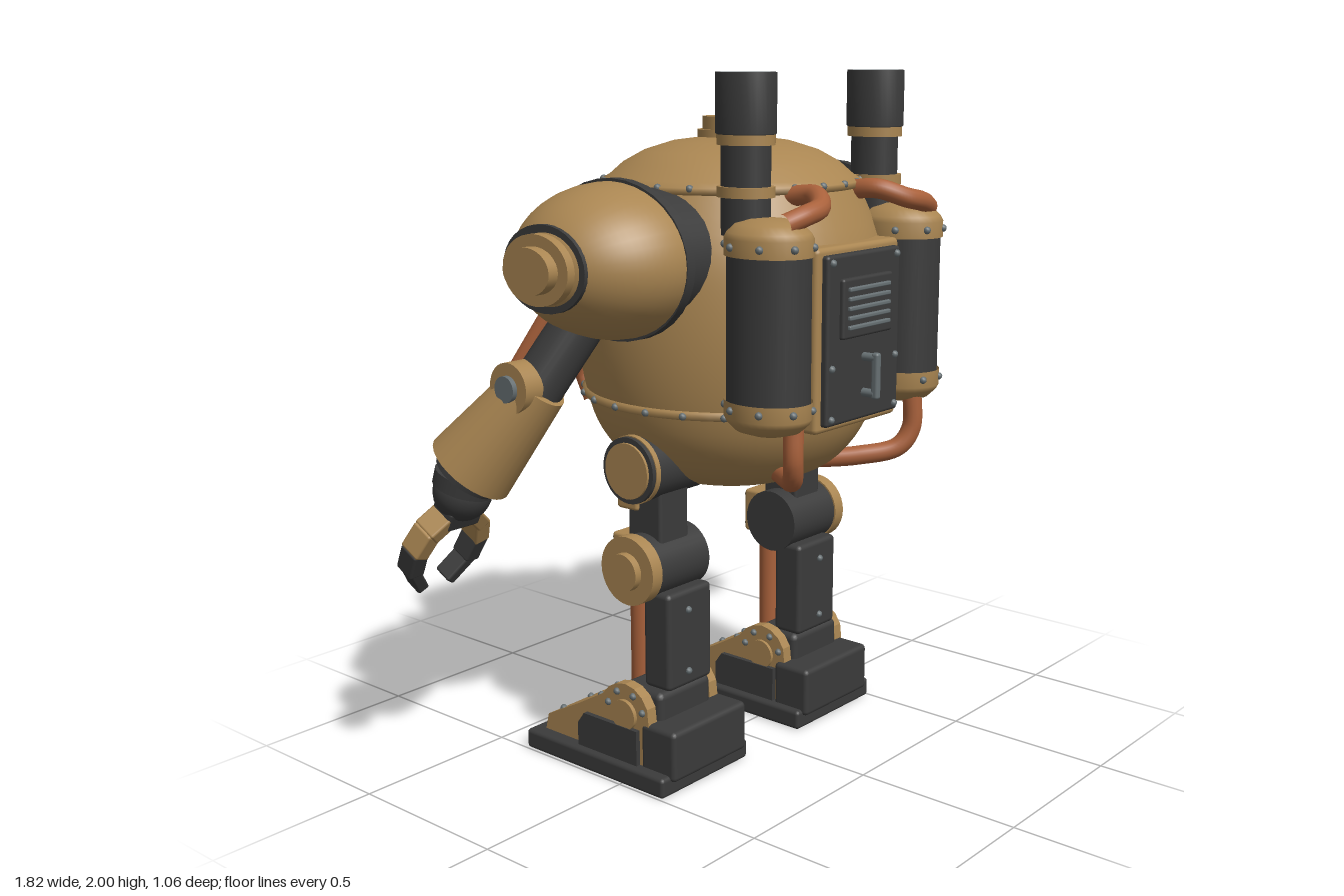
import * as THREE from 'three';
import { RoundedBoxGeometry } from 'three/addons/geometries/RoundedBoxGeometry.js';

const material = (name, color, side = THREE.FrontSide) => {
  const m = new THREE.MeshStandardMaterial({ color, side });
  m.name = name;
  return m;
};
const V = (x, y, z) => new THREE.Vector3(x, y, z);

export function createModel() {
  const root = new THREE.Group();
  root.name = 'robot';
  const brass = material('brass', 0xaa8652, THREE.DoubleSide);
  const dark = material('dark iron', 0x3b3b3b, THREE.DoubleSide);
  const copper = material('copper', 0xa9613b);
  const steel = material('steel', 0x677073);
  const glass = material('teal glass', 0x2c5256);

  const group = (name, parent = root) => {
    const g = new THREE.Group();
    g.name = name;
    parent.add(g);
    return g;
  };
  const add = (p, name, geo, mat, x = 0, y = 0, z = 0) => {
    const m = new THREE.Mesh(geo, mat);
    m.name = name;
    m.position.set(x, y, z);
    p.add(m);
    return m;
  };
  // Box given by its extents, with softened edges
  const box = (p, name, mat, x0, x1, y0, y1, z0, z1, r = 0.01) =>
    add(p, name, new RoundedBoxGeometry(Math.abs(x1 - x0), y1 - y0, Math.abs(z1 - z0), 2, r), mat,
      (x0 + x1) / 2, (y0 + y1) / 2, (z0 + z1) / 2);
  // Cylinder along x, y or z between two coordinates
  const xCyl = (p, name, mat, x0, x1, y, z, r, rz = r) => {
    const g = new THREE.CylinderGeometry(1, 1, Math.abs(x1 - x0), 32).rotateZ(Math.PI / 2).scale(1, r, rz);
    return add(p, name, g, mat, (x0 + x1) / 2, y, z);
  };
  const yCyl = (p, name, mat, x, y0, y1, z, r, rz = r) =>
    add(p, name, new THREE.CylinderGeometry(1, 1, y1 - y0, 32).scale(r, 1, rz), mat, x, (y0 + y1) / 2, z);
  const zCyl = (p, name, mat, x, y, z0, z1, r) =>
    add(p, name, new THREE.CylinderGeometry(r, r, Math.abs(z1 - z0), 32).rotateX(Math.PI / 2), mat, x, y, (z0 + z1) / 2);
  // Places a geometry built along y between two points
  const span = (p, name, mat, a, b, makeGeo) => {
    const d = b.clone().sub(a), m = add(p, name, makeGeo(d.length()), mat);
    m.position.copy(a).add(b).multiplyScalar(0.5);
    m.quaternion.setFromUnitVectors(V(0, 1, 0), d.normalize());
    return m;
  };
  const cone = (r0, r1) => (h) => new THREE.CylinderGeometry(r1, r0, h, 28);
  const rivetGeo = new THREE.SphereGeometry(0.011, 8, 6);
  const rivet = (p, x, y, z) => add(p, 'rivet', rivetGeo, steel, x, y, z);
  const lathe = (pts, seg = 48) =>
    new THREE.LatheGeometry(pts.map(([r, y]) => new THREE.Vector2(r, y)), seg);
  const pipe = (p, name, pts, r = 0.028) =>
    add(p, name, new THREE.TubeGeometry(new THREE.CatmullRomCurve3(pts), 40, r, 14), copper);

  // Round hull with a domed lid
  const body = group('body');
  const profile = new THREE.SplineCurve([[0.21, 0.84], [0.31, 0.89], [0.385, 0.98], [0.425, 1.09], [0.447, 1.24],
    [0.447, 1.4], [0.425, 1.54], [0.36, 1.69]].map(([r, y]) => new THREE.Vector2(r, y))).getPoints(28);
  add(body, 'hull', new THREE.LatheGeometry([new THREE.Vector2(0, 0.84), new THREE.Vector2(0.205, 0.84), ...profile], 56), brass);
  add(body, 'lid', lathe([[0.355, 1.675], [0.374, 1.68], [0.374, 1.697], [0.35, 1.71], [0.31, 1.745], [0.25, 1.778],
    [0.17, 1.803], [0.08, 1.815], [0, 1.817]], 56), brass);
  add(body, 'seam', lathe([[0.415, 1.075], [0.434, 1.08], [0.438, 1.1], [0.42, 1.105]], 56), brass);
  for (let i = 0; i < 24; i++) {
    const a = (i + 0.5) / 24 * Math.PI * 2, c = Math.cos(a), s = Math.sin(a);
    rivet(body, 0.368 * c, 1.695, 0.368 * s);
    rivet(body, 0.436 * c, 1.09, 0.436 * s);
  }
  yCyl(body, 'capBase', brass, 0, 1.79, 1.835, -0.015, 0.08, 0.09);
  yCyl(body, 'cap', brass, 0, 1.83, 1.872, -0.015, 0.065, 0.075);

  // Viewing window on the -z side
  const win = group('window');
  box(win, 'outerFrame', dark, -0.21, 0.21, 1.4, 1.62, -0.44, -0.34, 0.02);
  box(win, 'innerFrame', brass, -0.185, 0.185, 1.425, 1.595, -0.465, -0.42);
  box(win, 'pane', glass, -0.155, 0.155, 1.45, 1.57, -0.469, -0.461, 0.003);
  for (let i = 0; i < 5; i++) for (const y of [1.436, 1.584]) rivet(win, -0.16 + 0.08 * i, y, -0.465);

  // Round port beneath the window
  const port = group('port');
  zCyl(port, 'flange', brass, 0, 1.02, -0.34, -0.455, 0.128);
  zCyl(port, 'ring', dark, 0, 1.02, -0.45, -0.475, 0.09);
  zCyl(port, 'cover', brass, 0, 1.02, -0.47, -0.505, 0.075);
  zCyl(port, 'knob', brass, 0, 1.02, -0.5, -0.527, 0.042);
  for (let i = 0; i < 8; i++) {
    const a = i / 8 * Math.PI * 2;
    rivet(port, 0.109 * Math.cos(a), 1.02 + 0.109 * Math.sin(a), -0.457);
  }

  // Service panel with louvres and handle on the +z side
  const panel = group('panel');
  box(panel, 'frame', brass, -0.19, 0.19, 1.04, 1.545, 0.3, 0.455, 0.015);
  box(panel, 'door', dark, -0.168, 0.168, 1.06, 1.525, 0.43, 0.475);
  box(panel, 'vent', dark, -0.115, 0.115, 1.295, 1.46, 0.46, 0.488, 0.008);
  for (let i = 0; i < 5; i++) box(panel, 'louvre', steel, -0.095, 0.095, 1.32 + i * 0.026, 1.332 + i * 0.026, 0.48, 0.497, 0.004);
  box(panel, 'handle', steel, -0.011, 0.011, 1.12, 1.25, 0.505, 0.528, 0.008);
  for (const y of [1.135, 1.235]) zCyl(panel, 'handlePost', steel, 0, y, 0.47, 0.515, 0.012);
  for (const x of [-0.148, 0.148]) for (const y of [1.08, 1.22, 1.505]) rivet(panel, x, y, 0.475);

  for (const s of [-1, 1]) {
    // Storage tank
    const tank = group('tank');
    yCyl(tank, 'barrel', dark, s * 0.303, 1.12, 1.57, 0.382, 0.1, 0.12);
    const cap = [[0.107, 0], [0.107, 0.045], [0.1, 0.06], [0.08, 0.082], [0.045, 0.094], [0, 0.097]];
    add(tank, 'topCap', lathe(cap, 32).scale(1, 1, 1.18), brass, s * 0.303, 1.535, 0.382);
    add(tank, 'bottomCap', lathe(cap, 32).rotateX(Math.PI).scale(1, 1, 1.18), brass, s * 0.303, 1.152, 0.382);
    for (let i = 0; i < 8; i++) {
      const a = (i + 0.5) / 8 * Math.PI * 2;
      for (const y of [1.13, 1.56]) rivet(tank, s * 0.303 + 0.107 * Math.cos(a), y, 0.382 + 0.126 * Math.sin(a));
    }

    // Hollow chimney with brass collars
    const stack = group('chimney');
    yCyl(stack, 'pipe', dark, s * 0.29, 1.58, 1.86, 0.293, 0.06, 0.07);
    add(stack, 'mouth', lathe([[0, 1.86], [0.068, 1.84], [0.073, 1.845], [0.073, 2], [0.06, 2]], 32).scale(1, 1, 1.17), dark, s * 0.29, 0, 0.293);
    add(stack, 'lining', lathe([[0.061, 2], [0.055, 1.998], [0.055, 1.87]], 32).scale(1, 1, 1.17), steel, s * 0.29, 0, 0.293);
    add(stack, 'soot', new THREE.CircleGeometry(0.055, 32).rotateX(-Math.PI / 2).scale(1, 1, 1.17), dark, s * 0.29, 1.88, 0.293);
    for (const y of [1.68, 1.815]) yCyl(stack, 'collar', brass, s * 0.29, y, y + 0.028, 0.293, 0.07, 0.082);

    // Copper plumbing
    pipe(root, 'upperPipe', [V(s * 0.14, 1.67, 0.3), V(s * 0.145, 1.68, 0.41), V(s * 0.2, 1.655, 0.468),
      V(s * 0.27, 1.64, 0.474), V(s * 0.33, 1.62, 0.455)]);
    pipe(root, 'lowerPipe', [V(s * 0.28, 1.09, 0.45), V(s * 0.28, 0.98, 0.45), V(s * 0.25, 0.925, 0.425),
      V(s * 0.17, 0.9, 0.34), V(s * 0.08, 0.89, 0.23)]);
    pipe(root, 'hullPipe', [V(s * 0.35, 1.63, -0.24), V(s * 0.365, 1.55, -0.285), V(s * 0.36, 1.38, -0.32),
      V(s * 0.34, 1.25, -0.325), V(s * 0.26, 1.19, -0.38), V(s * 0.225, 1.12, -0.395), V(s * 0.22, 1.04, -0.36)], 0.026);
    for (const [x, y, z] of [[0.365, 1.54, -0.288], [0.345, 1.27, -0.325]])
      yCyl(root, 'pipeClamp', brass, s * x, y, y + 0.025, z, 0.036);

    // Shoulder
    const sh = group('shoulder');
    xCyl(sh, 'collar', dark, s * 0.3, s * 0.475, 1.508, 0, 0.19, 0.235);
    xCyl(sh, 'rim', dark, s * 0.462, s * 0.492, 1.508, 0, 0.218, 0.268);
    add(sh, 'pauldron', new THREE.SphereGeometry(1, 40, 20, 0, Math.PI * 2, 0, Math.PI / 2)
      .rotateZ(-s * Math.PI / 2).scale(0.275, 0.21, 0.265), brass, s * 0.49, 1.508, 0);
    xCyl(sh, 'hubRing', dark, s * 0.69, s * 0.735, 1.508, -0.01, 0.115, 0.15);
    xCyl(sh, 'hub', brass, s * 0.72, s * 0.765, 1.508, -0.01, 0.093, 0.12);
    xCyl(sh, 'hubCap', brass, s * 0.76, s * 0.797, 1.508, -0.01, 0.062, 0.085);

    // Arm
    const arm = group('arm');
    span(arm, 'upperArm', dark, V(s * 0.53, 1.42, -0.02), V(s * 0.67, 1.17, -0.12), cone(0.072, 0.072));
    span(arm, 'armPiston', copper, V(s * 0.6, 1.4, -0.1), V(s * 0.69, 1.14, -0.23), cone(0.028, 0.028));
    xCyl(arm, 'elbow', brass, s * 0.62, s * 0.765, 1.185, -0.125, 0.07);
    xCyl(arm, 'elbowBolt', steel, s * 0.75, s * 0.78, 1.185, -0.125, 0.036);
    span(arm, 'forearm', brass, V(s * 0.67, 1.185, -0.11), V(s * 0.763, 0.945, -0.285), cone(0.085, 0.125));
    span(arm, 'cuff', dark, V(s * 0.755, 0.965, -0.27), V(s * 0.772, 0.92, -0.3), cone(0.098, 0.094));
    span(arm, 'wristRing', dark, V(s * 0.77, 0.925, -0.298), V(s * 0.776, 0.885, -0.31), cone(0.088, 0.085));
    add(arm, 'wrist', new THREE.SphereGeometry(0.082, 24, 16), dark, s * 0.776, 0.875, -0.31);

    // Two-fingered claw
    const hand = group('hand', arm);
    hand.position.set(s * 0.778, 0.86, -0.31);
    hand.rotation.x = 0.5;
    box(hand, 'palm', dark, -0.06, 0.06, -0.085, -0.02, -0.04, 0.04);
    const joints = [[0.035, -0.05], [0.088, -0.1], [0.108, -0.165], [0.1, -0.235], [0.05, -0.305]];
    for (const f of [-1, 1]) for (let i = 0; i < 4; i++) {
      const [x0, y0] = joints[i], [x1, y1] = joints[i + 1], w = [0.045, 0.05, 0.05, 0.036][i];
      span(hand, i < 2 ? 'finger' : 'fingertip', i < 2 ? brass : dark, V(f * x0, y0, 0), V(f * x1, y1, 0),
        (h) => new RoundedBoxGeometry(w, h + 0.012, 0.078 - i * 0.006, 2, 0.007));
    }

    // Leg
    const leg = group('leg');
    const X = (x) => s * x;
    xCyl(leg, 'hip', dark, X(0.18), X(0.435), 0.915, -0.01, 0.095);
    xCyl(leg, 'hipBand', brass, X(0.405), X(0.422), 0.915, -0.01, 0.098);
    xCyl(leg, 'hipCap', brass, X(0.43), X(0.443), 0.915, -0.01, 0.08);
    box(leg, 'hipBracket', brass, X(0.24), X(0.38), 0.78, 0.88, -0.11, -0.03);
    box(leg, 'thigh', dark, X(0.25), X(0.37), 0.65, 0.9, -0.075, 0.05);
    xCyl(leg, 'knee', dark, X(0.2), X(0.41), 0.625, -0.01, 0.095);
    xCyl(leg, 'kneeDisc', brass, X(0.405), X(0.445), 0.625, -0.01, 0.1);
    xCyl(leg, 'kneeCap', brass, X(0.44), X(0.468), 0.625, -0.01, 0.055);
    box(leg, 'kneePad', brass, X(0.23), X(0.37), 0.565, 0.7, -0.14, -0.06);
    for (const x of [0.25, 0.35]) for (const y of [0.585, 0.68]) rivet(leg, X(x), y, -0.14);
    box(leg, 'shin', dark, X(0.207), X(0.393), 0.27, 0.56, 0, 0.1, 0.015);
    for (const y of [0.315, 0.5]) rivet(leg, X(0.31), y, 0.1);
    yCyl(leg, 'shinRod', steel, X(0.3), 0.24, 0.58, -0.012, 0.034);
    yCyl(leg, 'shinPiston', copper, X(0.3), 0.2, 0.52, -0.09, 0.034);
    yCyl(leg, 'pistonRod', steel, X(0.3), 0.5, 0.58, -0.09, 0.02);

    // Foot
    const foot = group('foot', leg);
    box(foot, 'sole', dark, X(0.122), X(0.497), 0, 0.06, -0.39, 0.165, 0.012);
    box(foot, 'heel', dark, X(0.145), X(0.463), 0.04, 0.19, 0.05, 0.18, 0.015);
    box(foot, 'ankle', dark, X(0.2), X(0.42), 0.1, 0.27, -0.07, 0.09, 0.02);
    // Side profile in (z, y), extruded across the foot
    const slab = (name, mat, pts, x0, x1) => {
      const shape = new THREE.Shape(pts.map(([z, y]) => new THREE.Vector2(-z, y)));
      const g = new THREE.ExtrudeGeometry(shape, { depth: x1 - x0, bevelEnabled: false });
      g.translate(0, 0, -(x1 - x0) / 2).rotateY(Math.PI / 2);
      add(foot, name, g, mat, X((x0 + x1) / 2), 0, 0);
    };
    slab('toeCover', brass, [[-0.04, 0.05], [-0.35, 0.05], [-0.335, 0.11], [-0.1, 0.235], [-0.04, 0.235]], 0.165, 0.455);
    const cheek = [[0.1, 0.05], [-0.2, 0.05], [-0.2, 0.182], [-0.1, 0.24], [-0.075, 0.268], [-0.045, 0.285], [-0.01, 0.292],
      [0.025, 0.285], [0.055, 0.265], [0.075, 0.235], [0.08, 0.19]];
    slab('innerCheek', brass, cheek, 0.16, 0.195);
    slab('outerCheek', brass, cheek, 0.425, 0.46);
    const guard = [[0.045, 0.05], [-0.19, 0.05], [-0.19, 0.13], [-0.165, 0.165], [0.045, 0.165]];
    slab('innerGuard', dark, guard, 0.145, 0.17);
    slab('outerGuard', dark, guard, 0.45, 0.475);
    xCyl(foot, 'anklePivot', brass, X(0.15), X(0.472), 0.2, -0.01, 0.045);
    for (const a of [0.3, 1.1, 2.04, 2.84])
      for (const x of [0.16, 0.46]) rivet(foot, X(x), 0.2 + 0.07 * Math.sin(a), -0.01 + 0.07 * Math.cos(a));
    for (const x of [0.195, 0.31, 0.425]) rivet(foot, X(x), 0.128, -0.3);
    for (const x of [0.195, 0.425]) rivet(foot, X(x), 0.213, -0.14);
  }
  return root;
}
